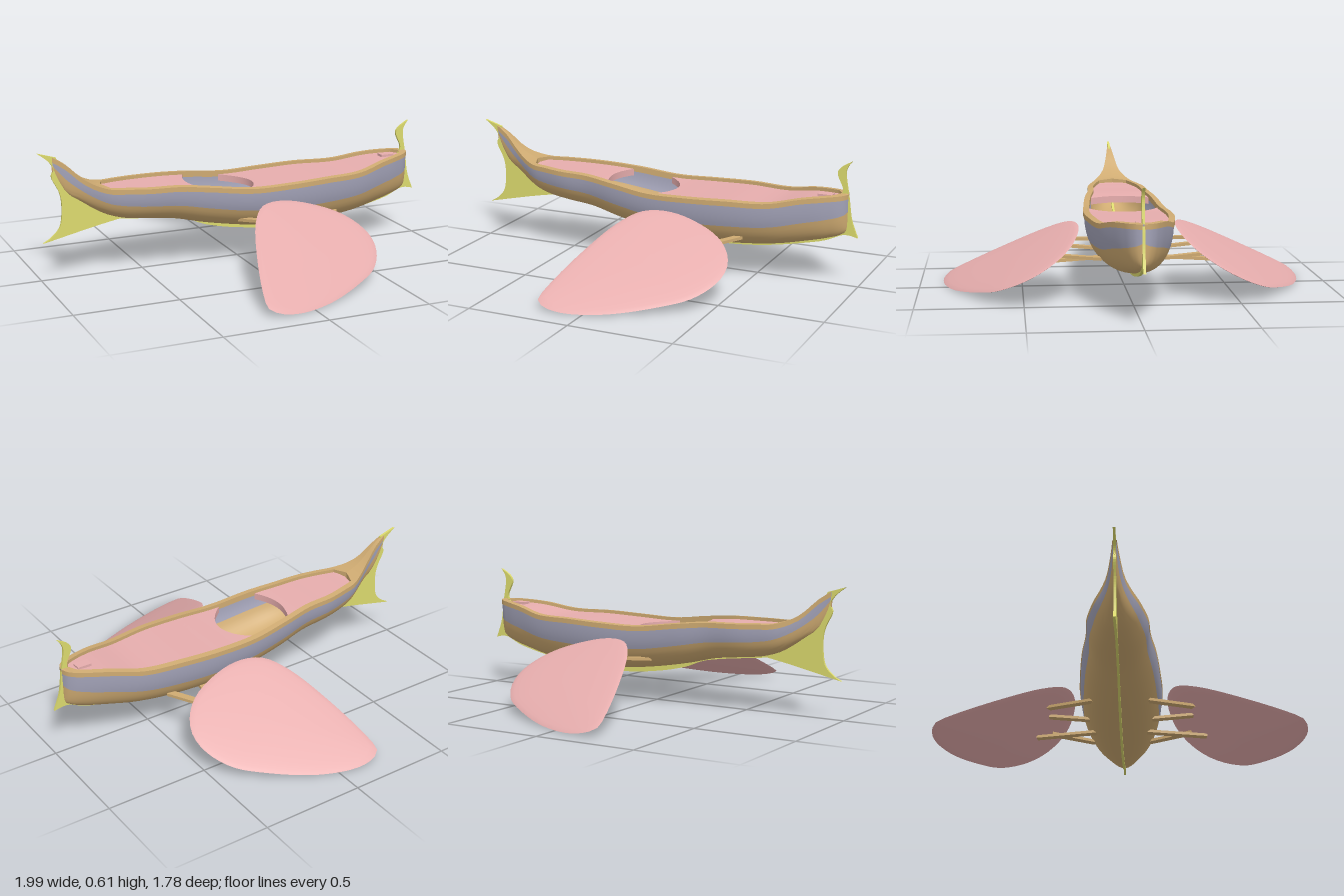
import * as THREE from 'three';
import { toCreasedNormals } from 'three/addons/utils/BufferGeometryUtils.js';

const paint = (color) => new THREE.MeshStandardMaterial({ color, side: THREE.DoubleSide });
const PINK = paint(0xe6adad), TAN = paint(0xcfab72), GREY = paint(0xa3a3b8), YELLOW = paint(0xdcda6e);

// Hull stations: x, half width, bottom height, top height
const STATIONS = [
  [-0.93, 0.006, 0.53, 0.6], [-0.87, 0.016, 0.43, 0.56], [-0.8, 0.036, 0.38, 0.495],
  [-0.75, 0.06, 0.345, 0.465], [-0.68, 0.095, 0.305, 0.443], [-0.6, 0.118, 0.28, 0.44],
  [-0.5, 0.14, 0.267, 0.437], [-0.35, 0.15, 0.25, 0.434], [-0.2, 0.175, 0.215, 0.42],
  [0, 0.195, 0.18, 0.397], [0.2, 0.205, 0.16, 0.4], [0.4, 0.197, 0.163, 0.407],
  [0.6, 0.165, 0.182, 0.41], [0.75, 0.122, 0.212, 0.438], [0.86, 0.08, 0.24, 0.45],
  [0.915, 0.047, 0.262, 0.454], [0.935, 0.02, 0.28, 0.455], [0.941, 0, 0.3, 0.455],
];
const interpolant = new THREE.CubicInterpolant(
  new Float32Array(STATIONS.map((s) => s[0])),
  new Float32Array(STATIONS.flatMap((s) => s.slice(1))), 3);
const station = (x) => {
  const [w, low, top] = interpolant.evaluate(x);
  return { w: Math.max(w, 0), low, top };
};

// Half width of the deck inside the rim
const deckWidth = (x) =>
  Math.max(0, Math.min(station(x).w - 0.025, (x + 0.69) * 6, (0.905 - x) * 2));

// Surface through equal rows of [x, y, z] points
function loft(rows, name, material, closed = false, crease = 0.7) {
  const n = rows[0].length, index = [];
  for (let i = 0; i < rows.length - 1; i++) {
    for (let j = 0; j < (closed ? n : n - 1); j++) {
      const k = (j + 1) % n;
      const a = i * n + j, b = i * n + k, c = a + n, d = b + n;
      index.push(a, c, b, b, c, d);
    }
  }
  const geo = new THREE.BufferGeometry();
  geo.setAttribute('position', new THREE.Float32BufferAttribute(rows.flat(2), 3));
  geo.setIndex(index);
  const mesh = new THREE.Mesh(toCreasedNormals(geo, crease), material);
  mesh.name = name;
  return mesh;
}

const range = (n, f) => Array.from({ length: n + 1 }, (_, i) => f(i / n));
const hullX = range(90, (t) => -0.93 + 1.871 * (1 - (1 - t) ** 1.4));

// Band of hull skin between two girth angles (0 = left rim, PI = right rim)
function hullBand(name, from, to, steps, material) {
  const rows = hullX.map((x) => {
    const { w, low, top } = station(x);
    return range(steps, (t) => {
      const a = from + (to - from) * t, c = Math.cos(a);
      const s = Math.max(0, Math.sin(a));
      return [x, top - (top - low) * s ** 0.8, Math.sign(c) * w * Math.abs(c) ** 0.8];
    });
  });
  return loft(rows, name, material);
}

// Gunwale strip on one side, closing over the narrow stern
function rim(side) {
  const rows = hullX.map((x) => {
    const { w, top } = station(x), inner = deckWidth(x);
    const outer = w + 0.004;
    return [[outer, -0.022], [outer, 0.001], [inner, 0.004], [inner, -0.025]]
      .map(([z, dy]) => [x, top + dy, side * z]);
  });
  return loft(rows, side > 0 ? 'leftRim' : 'rightRim', TAN);
}

// Deck with a curved cockpit edge and a lip turned down along it
function deck(name, edge, end) {
  const rows = range(41, (t) => {
    const s = Math.max(0, (t * 41 - 1) / 40);
    return range(16, (u) => {
      const v = u * 2 - 1;
      const x = edge(v) + (end - edge(v)) * s;
      return [x, station(x).top - (t === 0 ? 0.045 : 0.012), v * deckWidth(x)];
    });
  });
  return loft(rows, name, PINK);
}

// Thin blade: tail fin, keel and curled bow post in one outline
function keelBlade() {
  const runs = [
    // stern edge of the tail fin
    [[-0.95, 0.585], [-0.925, 0.545], [-0.935, 0.505], [-0.9, 0.43], [-0.89, 0.36],
      [-0.9, 0.27], [-0.94, 0.22], [-0.985, 0.193]],
    // underside
    [[-0.75, 0.245], [-0.61, 0.272]],
    [[-0.3, 0.235], [-0.16, 0.188], [0, 0.155], [0.2, 0.137], [0.5, 0.152], [0.8, 0.21],
      [0.92, 0.257], [0.99, 0.25]],
    // bow post
    [[0.958, 0.335], [0.942, 0.44], [0.925, 0.54], [0.93, 0.58], [0.952, 0.612]],
    [[0.9, 0.58], [0.885, 0.545], [0.912, 0.48], [0.9, 0.44]],
    [[0.915, 0.36], [0.9, 0.28]],
    // inner edge along the hull bottom
    [[0.8, 0.237], [0.5, 0.181], [0.2, 0.172], [0, 0.19], [-0.2, 0.225], [-0.6, 0.29],
      [-0.75, 0.37], [-0.86, 0.45], [-0.9, 0.55], [-0.91, 0.598]],
  ];
  const shape = new THREE.Shape().moveTo(-1, 0.625);
  for (const run of runs) shape.splineThru(run.map((p) => new THREE.Vector2(...p)));
  shape.closePath();
  const geo = new THREE.ExtrudeGeometry(shape, { depth: 0.012, bevelEnabled: false, curveSegments: 5 });
  geo.translate(0, 0, -0.006);
  const mesh = new THREE.Mesh(geo, YELLOW);
  mesh.name = 'keelAndFins';
  return mesh;
}

// Tilted plane that the side wing lies in
const wingY = (x, z) => 0.335 - 0.55 * (z - 0.23) - 0.16 * (x - 0.15);

// Leaf-shaped wing: a thin lens swept from the top centre to the bottom centre
function wing() {
  const outline = new THREE.CatmullRomCurve3([
    [-0.225, 0.86], [-0.19, 0.882], [-0.1, 0.885], [0.085, 0.83], [0.3, 0.715], [0.43, 0.62],
    [0.5, 0.51], [0.51, 0.42], [0.47, 0.34], [0.38, 0.275], [0.165, 0.232], [0.02, 0.27],
    [-0.065, 0.37], [-0.155, 0.58], [-0.22, 0.8],
  ].map(([x, z]) => new THREE.Vector3(x, 0, z)), true).getSpacedPoints(64).slice(0, -1);
  const rows = range(16, (t) => {
    const s = Math.sin(t * Math.PI), lift = 0.016 * Math.cos(t * Math.PI);
    return outline.map((p) => {
      const x = 0.15 + (p.x - 0.15) * s, z = 0.55 + (p.z - 0.55) * s;
      return [x, wingY(x, z) + lift, z];
    });
  });
  return loft(rows, 'wing', PINK, true, 1.0);
}

// Square beam between two points
function strut(a, b) {
  const from = new THREE.Vector3(...a), to = new THREE.Vector3(...b);
  const mesh = new THREE.Mesh(new THREE.BoxGeometry(0.035, 0.014, from.distanceTo(to)), TAN);
  mesh.position.lerpVectors(from, to, 0.5);
  mesh.lookAt(to);
  mesh.name = 'wingStrut';
  return mesh;
}

export function createModel() {
  const model = new THREE.Group();
  model.name = 'wingedBoat';

  // Hull: grey sides over a tan bottom
  const chine = 0.45;
  model.add(
    hullBand('leftSide', 0, chine, 6, GREY),
    hullBand('bottom', chine, Math.PI - chine, 20, TAN),
    hullBand('rightSide', Math.PI - chine, Math.PI, 6, GREY),
    rim(1), rim(-1),
    deck('foreDeck', (v) => 0.075 - 0.105 * v * v, 0.905),
    deck('aftDeck', (v) => -0.27 + 0.04 * v * v, -0.69),
    keelBlade(),
  );

  // Small block on the fore deck behind the bow post
  const block = new THREE.Mesh(new THREE.BoxGeometry(0.07, 0.012, 0.045), PINK);
  block.position.set(0.83, 0.441, 0);
  block.name = 'bowBlock';
  model.add(block);

  // Wings on struts, mirrored to both sides
  for (const side of [1, -1]) {
    const group = new THREE.Group();
    group.name = side > 0 ? 'leftWing' : 'rightWing';
    group.add(
      wing(),
      strut([-0.04, 0.235, 0.13], [0.1, wingY(0.1, 0.36) - 0.01, 0.36]),
      strut([0.17, 0.225, 0.14], [0.18, wingY(0.18, 0.36) - 0.01, 0.36]),
      strut([0.46, 0.225, 0.14], [0.34, wingY(0.34, 0.36) - 0.01, 0.36]),
      strut([0.27, 0.2, 0.12], [0.3, wingY(0.3, 0.43) - 0.015, 0.43]),
    );
    group.scale.z = side;
    model.add(group);
  }
  return model;
}
